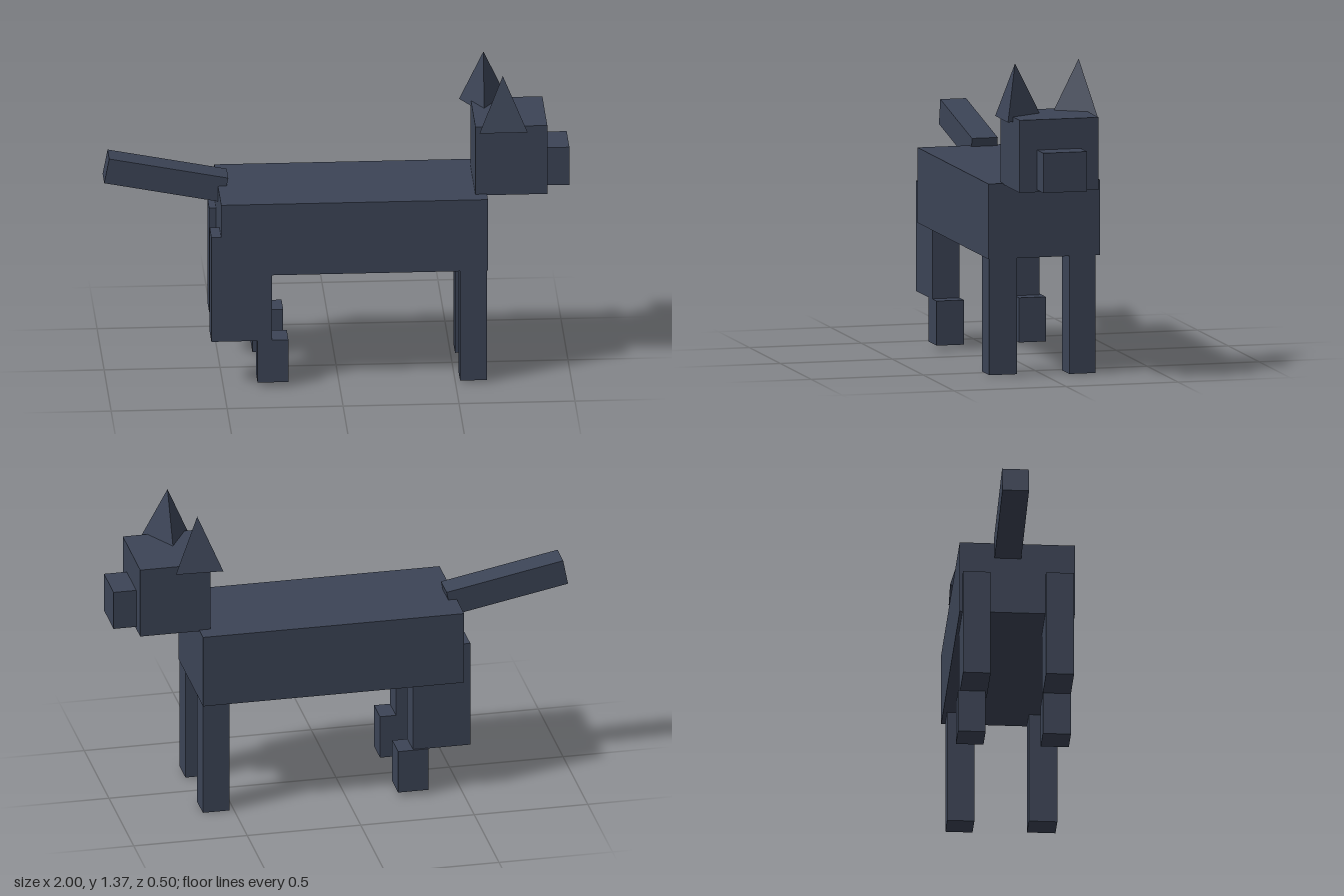
import * as THREE from 'three';

export function createModel() {
  const model = new THREE.Group();
  model.name = 'dog';
  const coat = new THREE.MeshStandardMaterial({ color: 0x3c4456, flatShading: true });

  const add = (name, geometry, x, y, z) => {
    const mesh = new THREE.Mesh(geometry, coat);
    mesh.name = name;
    mesh.position.set(x, y, z);
    model.add(mesh);
    return mesh;
  };

  // Box given by its extents along each axis
  const block = (name, [x0, x1], [y0, y1], [z0, z1]) =>
    add(name, new THREE.BoxGeometry(x1 - x0, y1 - y0, z1 - z0),
      (x0 + x1) / 2, (y0 + y1) / 2, (z0 + z1) / 2);

  // Trunk and head, facing +x
  block('body', [-0.51, 0.64], [0.513, 0.84], [-0.25, 0.247]);
  block('head', [0.59, 0.9], [0.835, 1.15], [-0.173, 0.18]);
  block('snout', [0.9, 1], [0.845, 1.018], [-0.093, 0.102]);

  // Tail, raised towards its tip
  const tail = add('tail', new THREE.BoxGeometry(0.523, 0.113, 0.115), -0.733, 0.871, -0.042);
  tail.rotation.z = -0.192;

  // Legs, slightly uneven from side to side
  block('frontLegNear', [0.52, 0.637], [0.008, 0.53], [0.12, 0.243]);
  block('frontLegFar', [0.52, 0.637], [0, 0.53], [-0.232, -0.115]);
  block('thighNear', [-0.552, -0.29], [0.21, 0.69], [0.12, 0.241]);
  block('thighFar', [-0.54, -0.287], [0.21, 0.69], [-0.237, -0.118]);
  block('hindFootNear', [-0.353, -0.22], [0.018, 0.212], [0.12, 0.241]);
  block('hindFootFar', [-0.353, -0.22], [0.018, 0.212], [-0.246, -0.127]);

  // Three-sided ears with their flat side outwards
  const ear = (name, x, z, turn) => {
    add(name, new THREE.ConeGeometry(0.12, 0.24, 3), x, 1.25, z).rotation.y = turn;
  };
  ear('earNear', 0.71, 0.148, Math.PI);
  ear('earFar', 0.645, -0.154, -0.04);

  return model;
}
